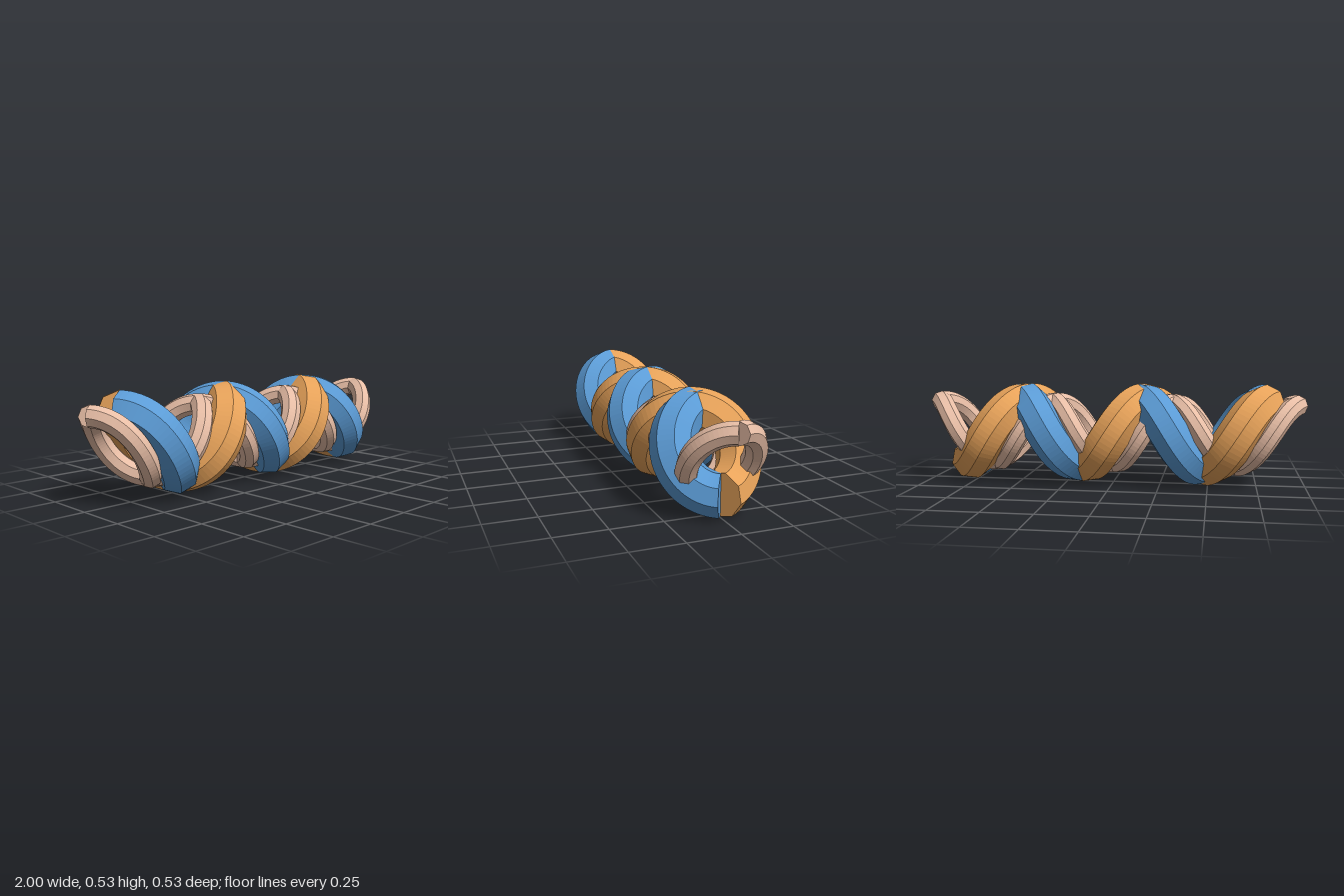
import * as THREE from 'three';
import { mergeGeometries } from 'three/addons/utils/BufferGeometryUtils.js';

const R = 0.159;        // helix radius
const PITCH = 4 * R;    // length of one turn
const AXIS_Y = 0.264;   // height of the common axis
const SIDES = 8;

// Helix along x that starts at the top; side = 1 winds to the front first, -1 to the back
class Helix extends THREE.Curve {
  constructor(turns, side) {
    super();
    this.turns = turns;
    this.side = side;
  }
  getPoint(t, target = new THREE.Vector3()) {
    const a = t * this.turns * Math.PI * 2;
    return target.set((t - 0.5) * this.turns * PITCH, AXIS_Y + R * Math.cos(a), this.side * R * Math.sin(a));
  }
}

// Eight-sided tube with flat end caps
function strandGeometry(turns, side, radius) {
  const curve = new Helix(turns, side);
  curve.arcLengthDivisions = 800;
  const segments = Math.round(turns * 64);
  const tube = new THREE.TubeGeometry(curve, segments, radius, SIDES);
  const cap = (i, dir) => {
    const n = tube.normals[i].clone().negate();
    const b = tube.binormals[i].clone().multiplyScalar(-dir);
    const t = tube.tangents[i].clone().multiplyScalar(dir);
    const m = new THREE.Matrix4().makeBasis(n, b, t).setPosition(curve.getPointAt(i / segments));
    return new THREE.CircleGeometry(radius, SIDES).applyMatrix4(m);
  };
  return mergeGeometries([tube, cap(0, -1), cap(segments, 1)]);
}

export function createModel() {
  const model = new THREE.Group();
  model.name = 'braidedHelices';

  const add = (name, turns, side, radius, color) => {
    const material = new THREE.MeshStandardMaterial({ color, flatShading: true });
    const mesh = new THREE.Mesh(strandGeometry(turns, side, radius), material);
    mesh.name = name;
    model.add(mesh);
  };

  // Thick pair, mirrored front to back
  add('thickStrandFront', 2.5, 1, R * 2 / 3, 0x5b9bd5);
  add('thickStrandBack', 2.5, -1, R * 2 / 3, 0xe8a35a);

  // Thin pair, half a turn out of step with the thick one
  add('thinStrandFront', 3, 1, R / 3, 0xe8bea6);
  add('thinStrandBack', 3, -1, R / 3, 0xe8bea6);

  return model;
}
